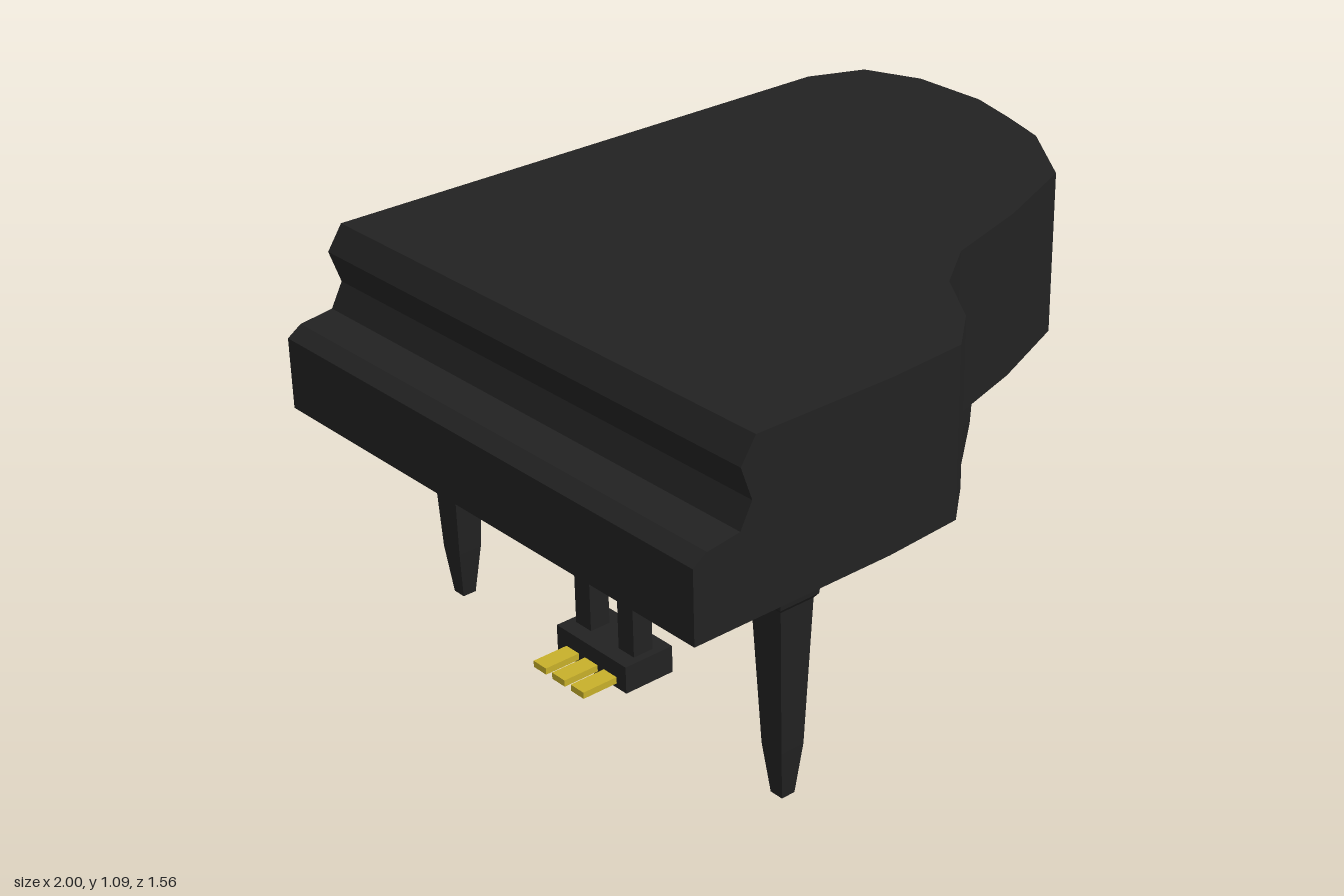
import * as THREE from 'three';

const BOTTOM = 0.63, TOP = 1.085, SEAM = -0.41;

export function createModel() {
  const group = new THREE.Group();
  const black = new THREE.MeshStandardMaterial({ color: 0x222222 });
  black.name = 'black lacquer';
  const brass = new THREE.MeshStandardMaterial({ color: 0xc8b02a });
  brass.name = 'brass';

  const add = (name, geometry, material = black) => {
    const mesh = new THREE.Mesh(geometry, material);
    mesh.name = name;
    group.add(mesh);
    return mesh;
  };
  const extrude = (points, depth) => new THREE.ExtrudeGeometry(
    new THREE.Shape(points.map(([x, y]) => new THREE.Vector2(x, y))),
    { depth, bevelEnabled: false });
  // Box given by its centre and size
  const box = (name, [x, y, z], size, material) =>
    add(name, new THREE.BoxGeometry(...size), material).position.set(x, y, z);

  // Curved case: plan outline (x, z) raised from the underside to the lid
  const outline = [
    [SEAM, 0.777], [-0.18, 0.762], [-0.06, 0.66], [0.05, 0.497], [0.2, 0.39],
    [0.47, 0.312], [0.75, 0.2], [0.91, -0.02], [0.96, -0.175], [1, -0.32],
    [1, -0.55], [0.935, -0.715], [0.775, -0.78], [SEAM, -0.78],
  ];
  const caseGeometry = extrude(outline.map(([x, z]) => [x, -z]), TOP - BOTTOM);
  caseGeometry.rotateX(-Math.PI / 2).translate(0, BOTTOM, 0);
  add('curvedCase', caseGeometry);

  // Keyboard end: side profile with the closed fallboard notch, run across the width
  const profile = [
    [SEAM, BOTTOM], [SEAM, TOP], [-0.818, TOP], [-0.862, 1.02], [-0.83, 0.93],
    [-0.865, 0.865], [-0.96, 0.852], [-1, 0.825], [-1, BOTTOM],
  ];
  add('keyboardEnd', extrude(profile, 1.557).translate(0, 0, -0.78));

  // Square tapered legs with flared collars: [half width, height]
  const legProfile = [
    [0, 0], [0.02, 0], [0.035, 0.14], [0.051, 0.54], [0.06, 0.552],
    [0.063, 0.585], [0.095, BOTTOM],
  ].map(([half, y]) => new THREE.Vector2(half * Math.SQRT2, y));
  const legGeometry = new THREE.LatheGeometry(legProfile, 4, Math.PI / 4).toNonIndexed();
  legGeometry.computeVertexNormals();
  const legs = [
    ['frontLeg', -0.615, 0.635], ['backLeg', -0.615, -0.635], ['tailLeg', 0.865, -0.255],
  ];
  for (const [name, x, z] of legs) add(name, legGeometry).position.set(x, 0, z);

  // Pedal lyre
  box('lyreTopPlate', [-0.61, 0.603, 0], [0.07, 0.056, 0.33]);
  box('pedalBlock', [-0.61, 0.108, 0], [0.15, 0.076, 0.274]);
  for (const side of [-1, 1]) {
    box('lyrePost', [-0.61, 0.36, side * 0.085], [0.06, 0.43, 0.06]);
  }
  for (const i of [-1, 0, 1]) {
    box('pedal', [-0.735, 0.092, i * 0.075], [0.11, 0.018, 0.05], brass);
  }
  return group;
}
